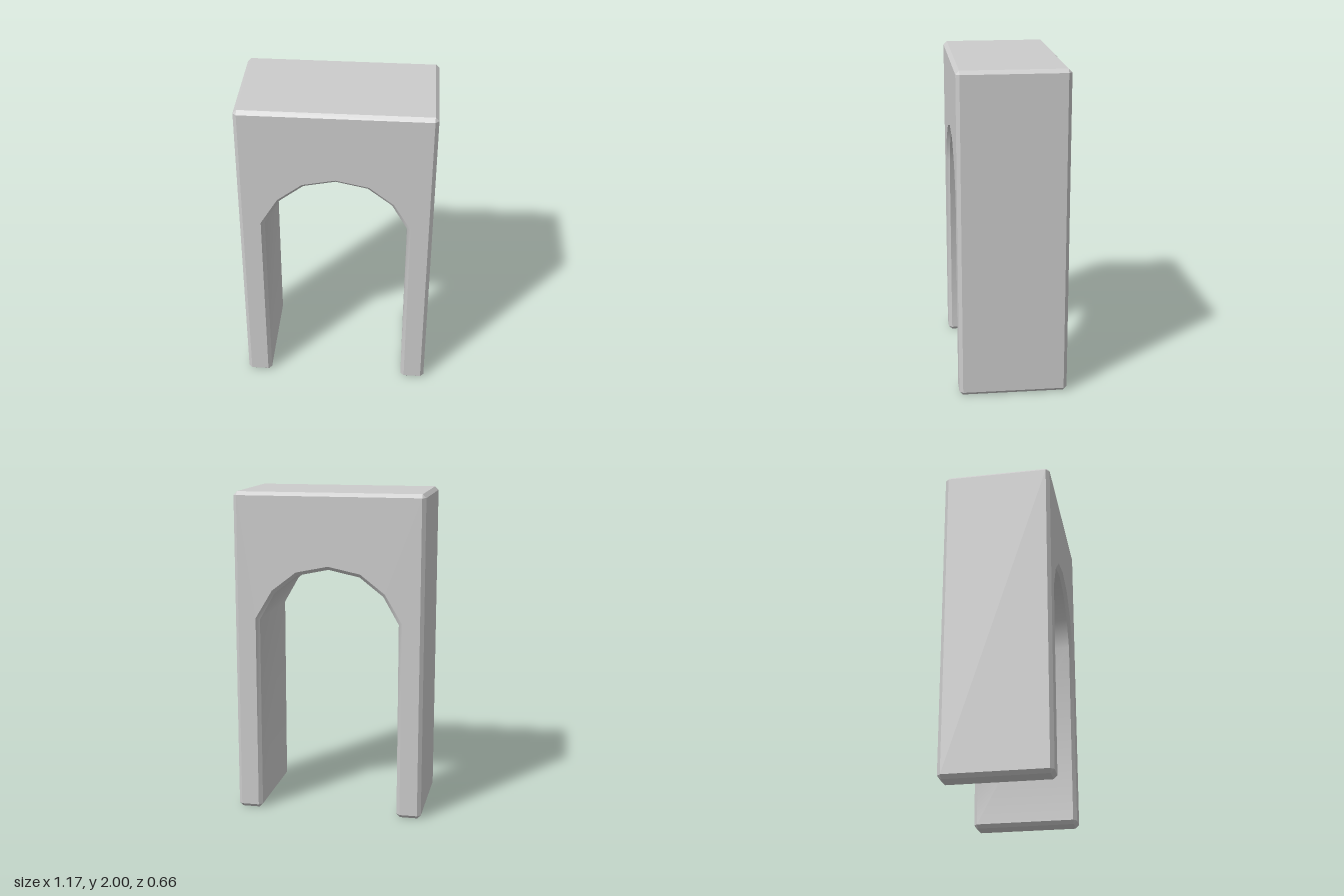
import * as THREE from 'three';
import { toCreasedNormals } from 'three/addons/utils/BufferGeometryUtils.js';

// Half outline, from the arch crown down the inner leg and up the outer side:
// [x, y on the outline, x, y on the inset front face]
const HALF = [
  [0, 1.54, 0, 1.562],
  [0.19, 1.5, 0.197, 1.521],
  [0.335, 1.387, 0.347, 1.405],
  [0.43, 1.22, 0.452, 1.23],
  [0.43, 0.022, 0.452, 0.022],
  [0.452, 0, 0.452, 0.022],
  [0.561, 0, 0.561, 0.022],
  [0.583, 0.022, 0.561, 0.022],
  [0.583, 1.978, 0.561, 1.978],
  [0.561, 2, 0.561, 1.978],
];
const FACE_Z = 0.332; // front and back faces
const SIDE_Z = 0.31; // where the bevel meets the sides

function archGeometry() {
  const mirrored = HALF.slice(1).reverse().map(([x, y, fx, fy]) => [-x, y, -fx, fy]);
  const outline = [...HALF, ...mirrored];
  const ring = (inset, z) => outline.map((p) =>
    new THREE.Vector3(p[inset ? 2 : 0], p[inset ? 3 : 1], z));
  const rings = [ring(true, FACE_Z), ring(false, SIDE_Z), ring(false, -SIDE_Z), ring(true, -FACE_Z)];

  const positions = [];
  const triangle = (a, b, c) => {
    // Bevel corners collapse to one triangle, so skip the empty half
    if (a.equals(b) || b.equals(c) || c.equals(a)) return;
    for (const v of [a, b, c]) positions.push(v.x, v.y, v.z);
  };

  // Bevels and sides, ring to ring from front to back
  for (let r = 0; r < rings.length - 1; r++) {
    const a = rings[r], b = rings[r + 1];
    for (let i = 0; i < outline.length; i++) {
      const j = (i + 1) % outline.length;
      triangle(a[i], b[i], b[j]);
      triangle(a[i], b[j], a[j]);
    }
  }

  // Flat front and back faces
  const distinct = (points) => points.filter((p, i) => i === 0 || !p.equals(points[i - 1]));
  const front = distinct(rings[0]);
  const back = distinct(rings[3]);
  const contour = front.map((p) => new THREE.Vector2(p.x, p.y));
  for (const [a, b, c] of THREE.ShapeUtils.triangulateShape(contour, [])) {
    triangle(front[a], front[b], front[c]);
    triangle(back[a], back[c], back[b]);
  }

  const geometry = new THREE.BufferGeometry();
  geometry.setAttribute('position', new THREE.Float32BufferAttribute(positions, 3));
  // Smooth under the arch, sharp at the bevels
  return toCreasedNormals(geometry, THREE.MathUtils.degToRad(32));
}

export function createModel() {
  const group = new THREE.Group();
  group.name = 'archway';
  const arch = new THREE.Mesh(archGeometry(), new THREE.MeshStandardMaterial({ color: 0xcccccc }));
  arch.name = 'archBlock';
  group.add(arch);
  return group;
}
